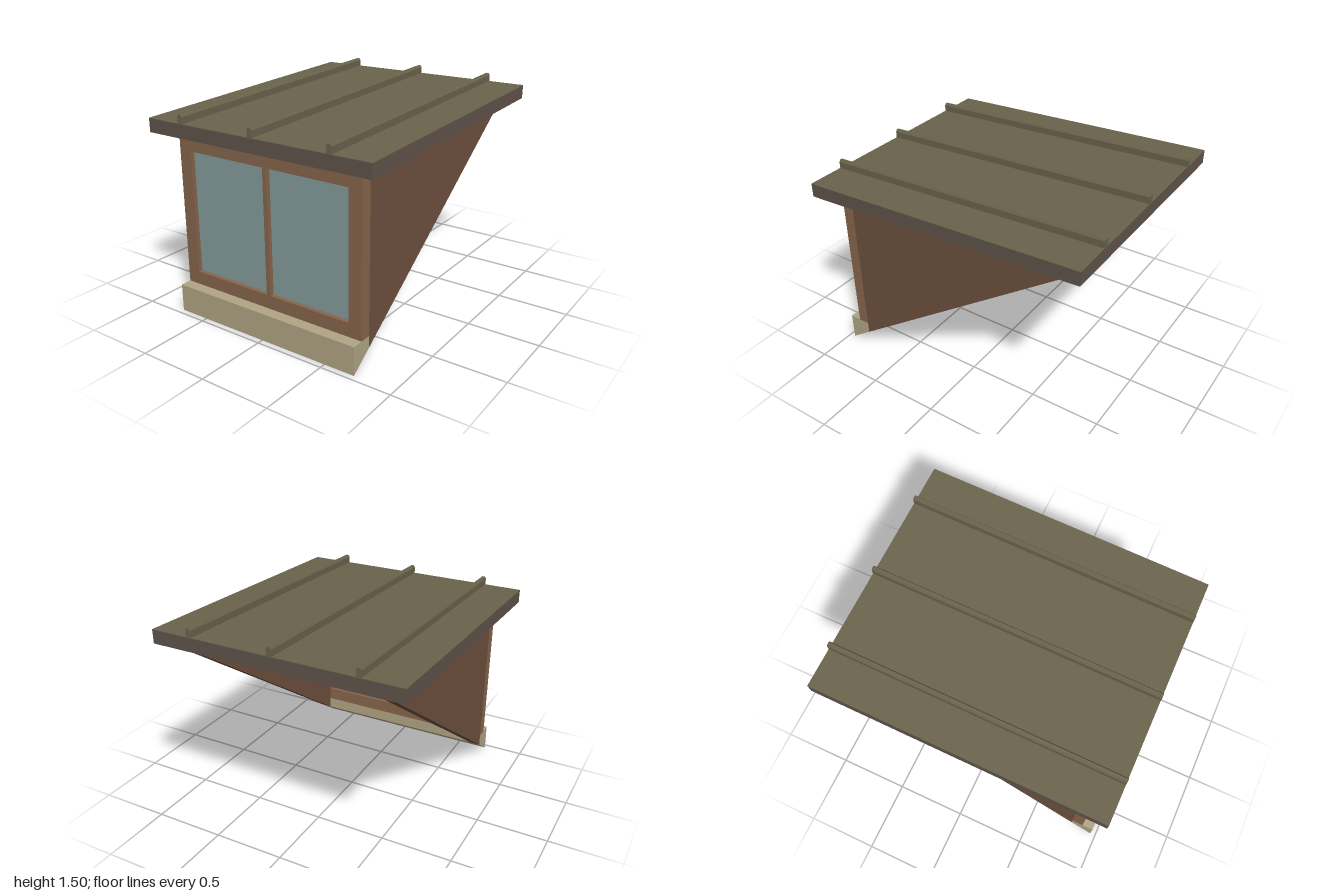
import * as THREE from 'three';

const mat = (color) => new THREE.MeshStandardMaterial({ color });
const shapeOf = (pts) => new THREE.Shape(pts.map(([a, b]) => new THREE.Vector2(a, b)));

// Roof underside and cut line of the main roof, as heights at depth z
const eaves = (z) => 1.31 - 0.04 * z;
const cut = (z) => (0.96 - z) * 0.701;

// Extrude a side profile of [z, y] points across x, centred on cx
function acrossX(pts, width, cx = 0) {
  const g = new THREE.ExtrudeGeometry(shapeOf(pts), { depth: width, bevelEnabled: false });
  g.translate(0, 0, -width / 2);
  g.rotateY(-Math.PI / 2);
  g.translate(cx, 0, 0);
  return g;
}

// Extrude a front outline along z, from z0 to z1
function alongZ(shape, z0, z1) {
  const g = new THREE.ExtrudeGeometry(shape, { depth: z1 - z0, bevelEnabled: false });
  return g.translate(0, 0, z0);
}

const rect = (x0, x1, y0, y1) => [[x0, y0], [x1, y0], [x1, y1], [x0, y1]];

export function createModel() {
  const model = new THREE.Group();
  const frameMat = mat(0x87654c), cheekMat = mat(0x6d503e), glassMat = mat(0x849c9c);
  const sillMat = mat(0xb0a584), deckMat = mat(0x5f534b), sheetMat = mat(0x6a634c);

  const add = (name, geometry, material) => {
    const mesh = new THREE.Mesh(geometry, material);
    mesh.name = name;
    model.add(mesh);
    return mesh;
  };

  // Sill, cut below along the main roof slope
  add('sill', acrossX([[0.96, 0], [0.96, 0.195], [0.8, 0.195], [0.8, cut(0.8)]], 1.44), sillMat);

  // Front wall with two window openings, its top following the roof
  const wall = shapeOf(rect(-0.72, 0.72, 0.195, 1.276));
  const panes = [[-0.625, -0.016], [0.016, 0.625]];
  for (const [x0, x1] of panes) {
    wall.holes.push(new THREE.Path(rect(x0, x1, 0.29, 1.15).map(([x, y]) => new THREE.Vector2(x, y))));
  }
  add('frontWall', alongZ(wall, 0.8, 0.88), frameMat);

  // Window panes set back in the openings
  for (const [x0, x1] of panes) {
    const pane = new THREE.BoxGeometry(x1 - x0, 0.86, 0.02);
    add('windowPane', pane.translate((x0 + x1) / 2, 0.72, 0.84), glassMat);
  }

  // Side cheeks
  for (const s of [-1, 1]) {
    const profile = [[0.8, cut(0.8)], [0.8, eaves(0.8)], [-0.88, eaves(-0.88)], [-0.88, cut(-0.88)]];
    add(s > 0 ? 'leftCheek' : 'rightCheek', acrossX(profile, 0.08, s * 0.68), cheekMat);
  }

  // Header joining the cheeks at the back
  add('backHeader', acrossX([
    [-0.8, cut(-0.8)], [-0.8, eaves(-0.8)], [-0.88, eaves(-0.88)], [-0.88, cut(-0.88)],
  ], 1.28), cheekMat);

  // Sloping roof: deck with a thin metal sheet on top
  const layer = (from, to) => acrossX([
    [1, eaves(1) + from], [1, eaves(1) + to], [-1, eaves(-1) + to], [-1, eaves(-1) + from],
  ], 1.72);
  add('roofDeck', layer(0, 0.092), deckMat);
  add('roofSheet', layer(0.092, 0.096), sheetMat);

  // Standing seams with chamfered tops, sheared to the roof slope
  for (const x of [-0.577, 0, 0.577]) {
    const seam = shapeOf([
      [-0.018, 0.09], [0.018, 0.09], [0.018, 0.141], [0.009, 0.155], [-0.009, 0.155], [-0.018, 0.141],
    ]);
    const g = alongZ(seam, -1, 1);
    const p = g.attributes.position;
    for (let i = 0; i < p.count; i++) p.setY(i, p.getY(i) + eaves(p.getZ(i)));
    g.computeVertexNormals();
    add('roofSeam', g.translate(x, 0, 0), sheetMat);
  }

  return model;
}
